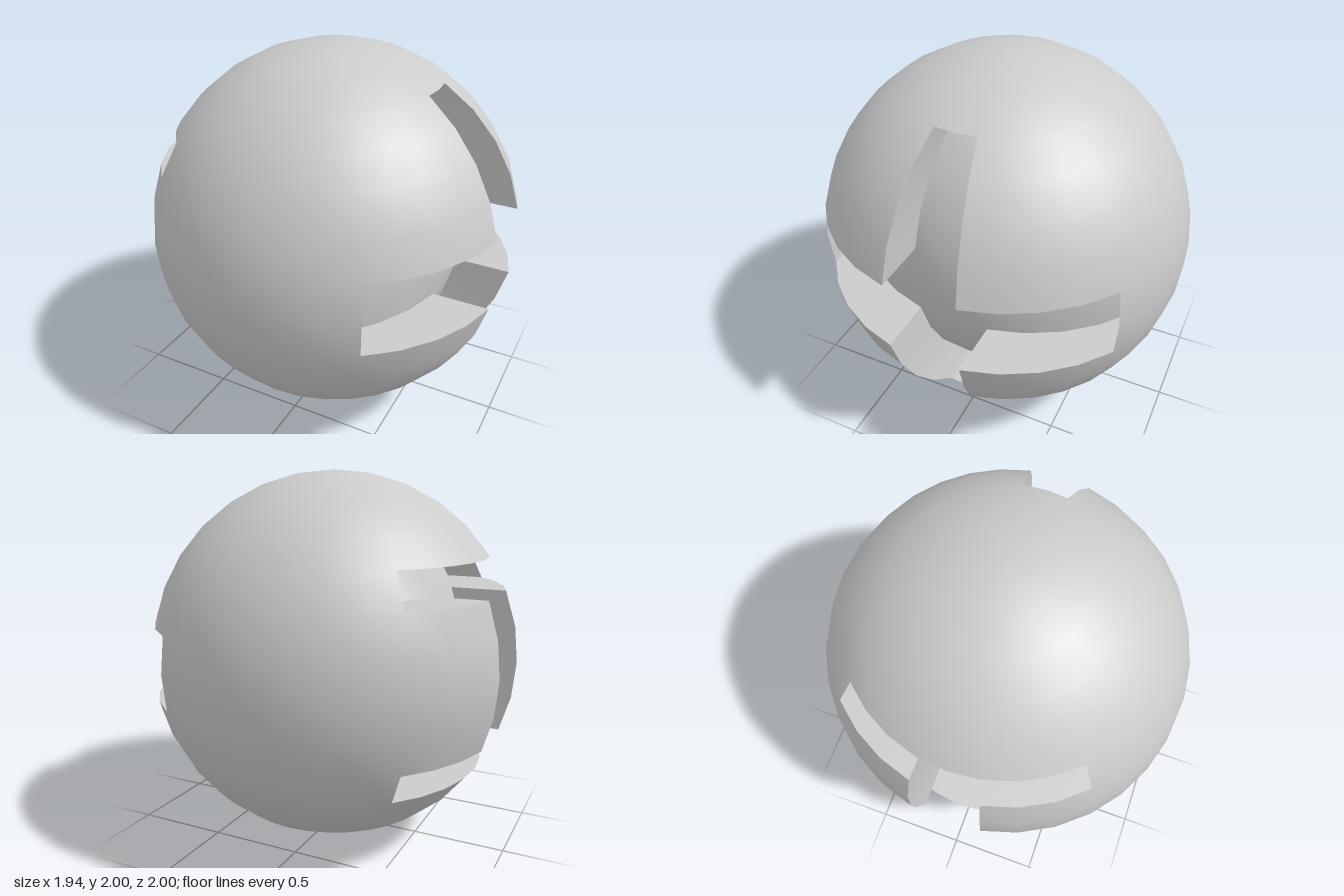
import * as THREE from 'three';
import { toCreasedNormals } from 'three/addons/utils/BufferGeometryUtils.js';

const STEP = Math.PI / 16; // 32 segments around, 16 rings
const DEPTH = 0.295;       // groove depth, sunk straight along x
const SHIFT = 0.006;

// Grid point on the unit ball: i counts round from +x towards +z, j up from the equator
function point(i, j, sink = 0) {
  const r = Math.abs(j) === 8 ? 0 : Math.cos(j * STEP);
  return [r * Math.cos(i * STEP) + sink + SHIFT, Math.sin(j * STEP) + 1, r * Math.sin(i * STEP)];
}

// Cross-shaped groove centred on +x
function inCross(i, j) {
  const a = Math.abs(i + 0.5), b = Math.abs(j + 0.5);
  return (a < 1 && b < 5) || (a < 5 && b < 1);
}

// Groove centred on -x: an upright with a bar at each end
function inBars(i, j) {
  const a = 16 - Math.abs(i + 0.5), b = Math.abs(j + 0.5);
  return (a < 1 && b < 3) || (a < 4 && b > 2 && b < 3);
}

const wrap = (i) => ((i + 48) % 32) - 16;

function eachCell(visit) {
  for (let i = -16; i < 16; i++) for (let j = -8; j < 8; j++) visit(i, j);
}

// Corners of a cell, counter-clockwise from outside
const corners = (i, j) => [[i, j], [i, j + 1], [i + 1, j + 1], [i + 1, j]];

function addQuad(out, a, b, c, d) {
  const same = (p, q) => Math.hypot(p[0] - q[0], p[1] - q[1], p[2] - q[2]) < 1e-6;
  for (const t of [[a, b, c], [a, c, d]]) {
    if (!same(t[0], t[1]) && !same(t[1], t[2]) && !same(t[0], t[2])) out.push(...t.flat());
  }
}

function makeMesh(name, positions) {
  const geo = new THREE.BufferGeometry();
  geo.setAttribute('position', new THREE.Float32BufferAttribute(positions, 3));
  const mesh = new THREE.Mesh(
    toCreasedNormals(geo, 0.55),
    new THREE.MeshStandardMaterial({ color: 0xcccccc })
  );
  mesh.name = name;
  return mesh;
}

// Sunken floor plus the walls joining it to the rim
function makeGroove(name, inside, sink) {
  const out = [];
  eachCell((i, j) => {
    if (!inside(i, j)) return;
    const c = corners(i, j);
    addQuad(out, ...c.map(([u, v]) => point(u, v, sink)));
    const neighbours = [[i - 1, j], [i, j + 1], [i + 1, j], [i, j - 1]];
    neighbours.forEach(([u, v], k) => {
      if (inside(wrap(u), v)) return;
      const a = c[k], b = c[(k + 1) % 4];
      addQuad(out, point(...b, sink), point(...a, sink), point(...a), point(...b));
    });
  });
  return makeMesh(name, out);
}

export function createModel() {
  const group = new THREE.Group();
  group.name = 'groovedBall';

  // Outer shell
  const shell = [];
  eachCell((i, j) => {
    if (!inCross(i, j) && !inBars(i, j)) addQuad(shell, ...corners(i, j).map(([u, v]) => point(u, v)));
  });
  group.add(makeMesh('ballShell', shell));

  // Grooves on both sides
  group.add(makeGroove('leftCrossGroove', inCross, -DEPTH));
  group.add(makeGroove('rightBarGroove', inBars, DEPTH));
  return group;
}
